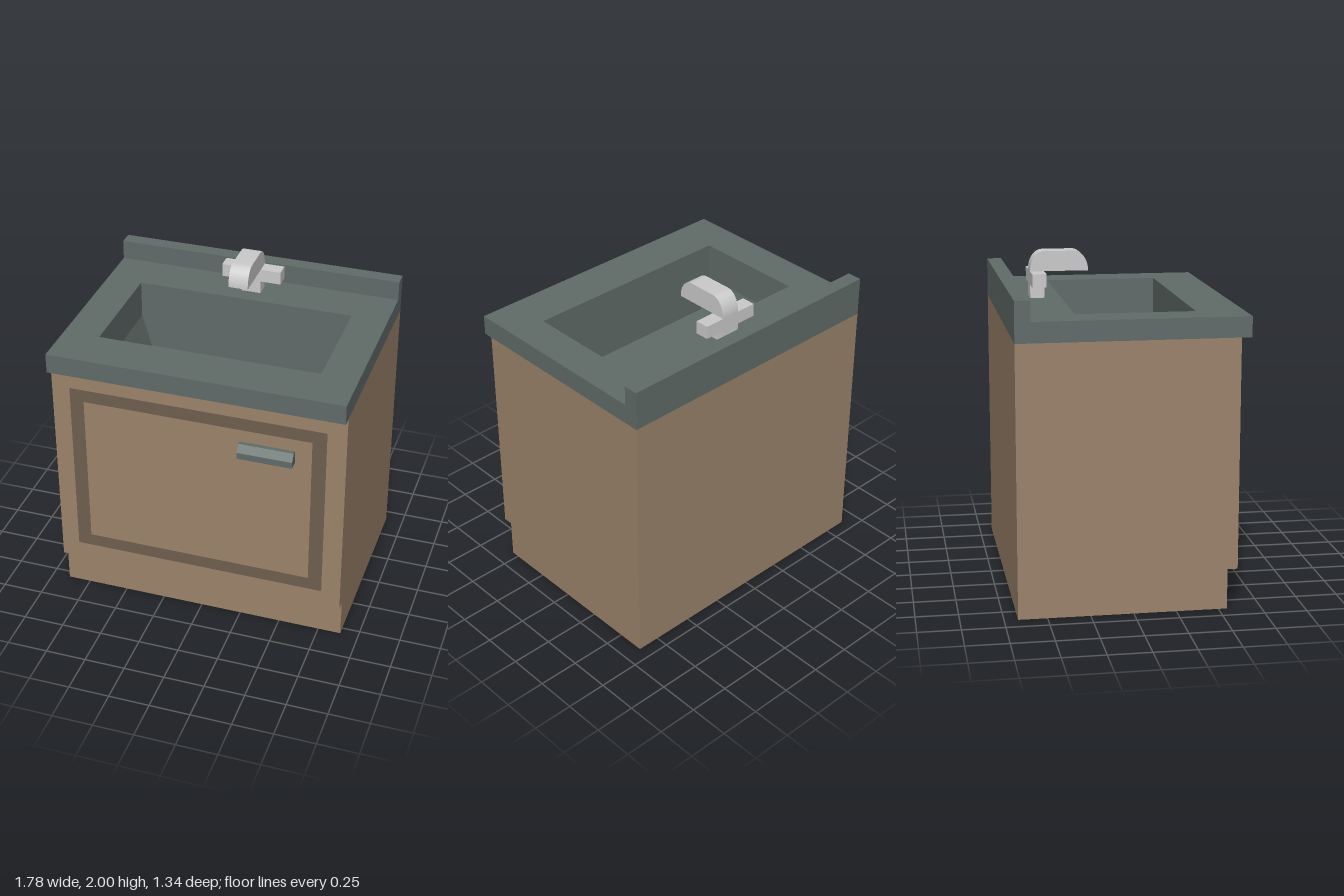
import * as THREE from 'three';
import { mergeGeometries, toCreasedNormals } from 'three/addons/utils/BufferGeometryUtils.js';

const material = (color, side = THREE.FrontSide) => new THREE.MeshStandardMaterial({ color, side });

function polygon(points) {
  return new THREE.Shape(points.map(([x, y]) => new THREE.Vector2(x, y)));
}

function rectangle(x0, x1, y0, y1) {
  return polygon([[x0, y0], [x1, y0], [x1, y1], [x0, y1]]);
}

// Sweeps an open profile (x, y) along z and caps both ends; the gap between first and last point stays open.
function openShell(profile, z0, z1) {
  const parts = [];
  for (let i = 0; i < profile.length - 1; i++) {
    const [ax, ay] = profile[i], [bx, by] = profile[i + 1];
    const strip = new THREE.PlaneGeometry(1, 1);
    const p = strip.attributes.position;
    p.setXYZ(0, ax, ay, z1);
    p.setXYZ(1, ax, ay, z0);
    p.setXYZ(2, bx, by, z1);
    p.setXYZ(3, bx, by, z0);
    strip.setIndex([0, 1, 2, 1, 3, 2]);
    strip.computeVertexNormals();
    parts.push(strip);
  }
  const front = new THREE.ShapeGeometry(polygon(profile)).translate(0, 0, z1);
  const back = new THREE.ShapeGeometry(polygon(profile.map(([x, y]) => [-x, y])));
  back.rotateY(Math.PI).translate(0, 0, z0);
  return mergeGeometries([...parts, front, back]);
}

// Extrudes a side profile (z, y) across x from x0 to x1.
function acrossX(shape, x0, x1) {
  const geo = new THREE.ExtrudeGeometry(shape, { depth: x1 - x0, bevelEnabled: false, curveSegments: 10 });
  return geo.rotateY(-Math.PI / 2).translate(x1, 0, 0);
}

export function createModel() {
  const model = new THREE.Group();
  model.name = 'sinkCabinet';
  const wood = material(0x9b836b, THREE.DoubleSide);
  const darkWood = material(0x705f50);
  const stone = material(0x616c69);
  const stoneInside = material(0x616c69, THREE.DoubleSide);
  const metal = material(0xd6dad8);

  const add = (name, geo, mat, parent = model) => {
    const mesh = new THREE.Mesh(geo, mat);
    mesh.name = name;
    parent.add(mesh);
    return mesh;
  };
  const box = (name, [x0, x1], [y0, y1], [z0, z1], mat, parent) => {
    const geo = new THREE.BoxGeometry(x1 - x0, y1 - y0, z1 - z0);
    geo.translate((x0 + x1) / 2, (y0 + y1) / 2, (z0 + z1) / 2);
    return add(name, geo, mat, parent);
  };

  // Cabinet with recessed plinth, open at the top under the counter
  const side = [[-0.67, 1.6], [-0.67, 0], [0.55, 0], [0.55, 0.24], [0.61, 0.24], [0.61, 1.6]];
  add('cabinet', openShell(side, -0.89, 0.89).rotateY(-Math.PI / 2), wood);

  // Dark border on the door
  const border = rectangle(-0.78, 0.775, 0.35, 1.48);
  border.holes.push(rectangle(-0.695, 0.69, 0.43, 1.4));
  add('doorBorder', new THREE.ShapeGeometry(border).translate(0, 0, 0.612), darkWood);

  // Door handle with a chamfered upper edge
  const grip = polygon([[0.61, 1.24], [0.67, 1.24], [0.67, 1.28], [0.635, 1.32], [0.61, 1.32]]);
  add('handle', acrossX(grip, 0.26, 0.59), stone);

  // Countertop with basin opening (shape y becomes -z)
  const top = rectangle(-0.89, 0.89, -0.67, 0.67);
  top.holes.push(rectangle(-0.67, 0.67, -0.39, 0.305));
  const slab = new THREE.ExtrudeGeometry(top, { depth: 0.12, bevelEnabled: false });
  add('countertop', slab.rotateX(-Math.PI / 2).translate(0, 1.6, 0), stone);
  box('backsplash', [-0.89, 0.89], [1.72, 1.84], [-0.67, -0.58], stone);

  // Basin: upright walls, sloping in at the left and right towards the floor
  const bowl = [[-0.67, 1.6], [-0.67, 1.49], [-0.61, 1.28], [0.61, 1.28], [0.67, 1.49], [0.67, 1.6]];
  add('basin', openShell(bowl, -0.305, 0.39), stoneInside);

  // Faucet
  const faucet = new THREE.Group();
  faucet.name = 'faucet';
  model.add(faucet);
  box('faucetStem', [-0.05, 0.07], [1.72, 1.8], [-0.49, -0.405], metal, faucet);
  box('faucetCrossbar', [-0.175, 0.195], [1.8, 1.88], [-0.49, -0.405], metal, faucet);
  const spout = new THREE.Shape();
  spout.moveTo(-0.49, 1.88);
  spout.lineTo(-0.14, 1.88);
  spout.absellipse(-0.225, 1.88, 0.085, 0.12, 0, Math.PI / 2);
  spout.lineTo(-0.405, 2);
  spout.absellipse(-0.405, 1.88, 0.085, 0.12, Math.PI / 2, Math.PI);
  add('faucetSpout', toCreasedNormals(acrossX(spout, -0.05, 0.07), 0.6), metal, faucet);

  return model;
}
